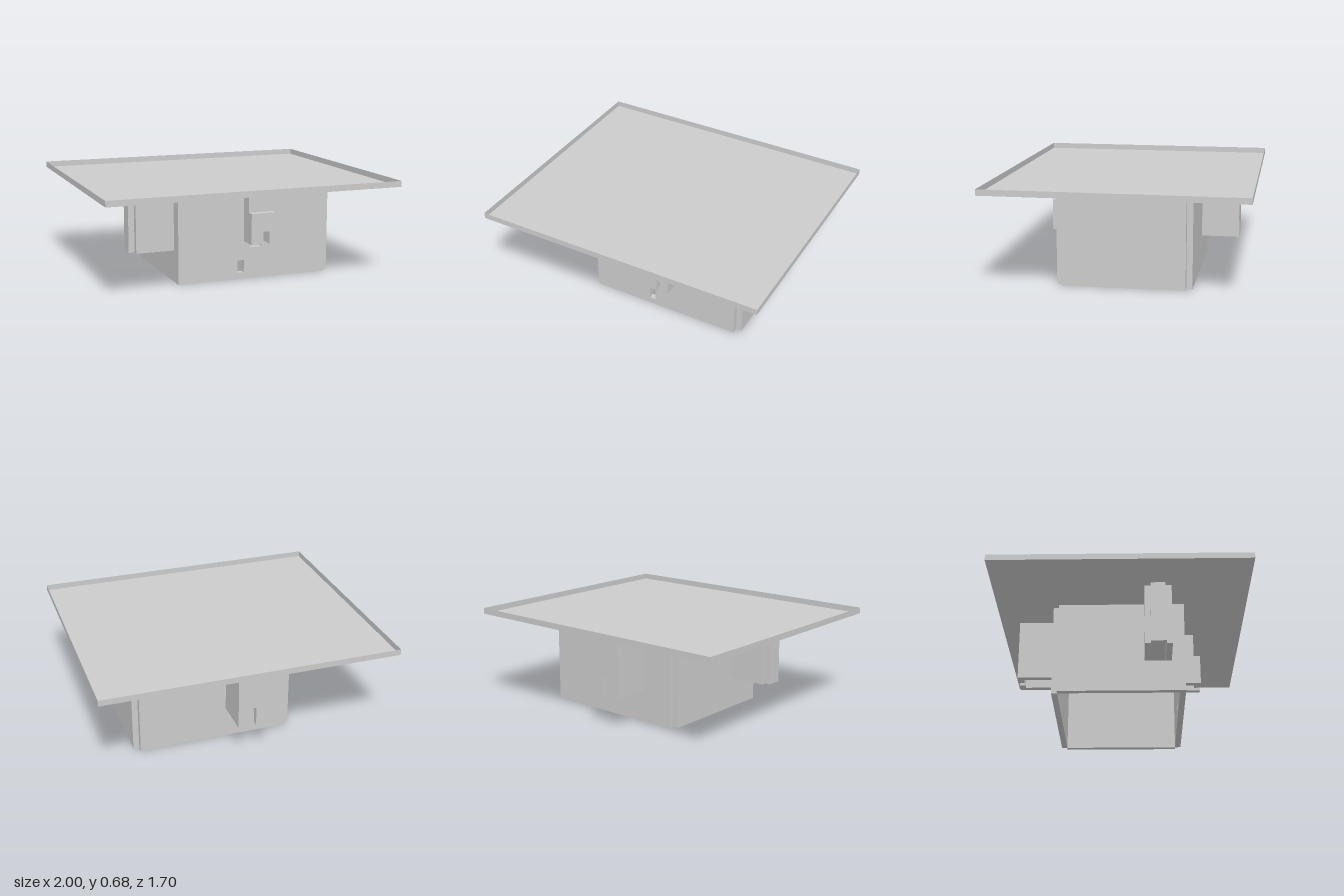
import * as THREE from 'three';

const material = new THREE.MeshStandardMaterial({ color: 0xcccccc });
const sheet = new THREE.MeshStandardMaterial({ color: 0xcccccc, side: THREE.DoubleSide });
const T = 0.04; // panel thickness
const TOP = 0.64; // underside of the tray

// Box given by its limits on each axis
function block(name, x0, x1, y0, y1, z0, z1) {
  const mesh = new THREE.Mesh(new THREE.BoxGeometry(x1 - x0, y1 - y0, z1 - z0), material);
  mesh.position.set((x0 + x1) / 2, (y0 + y1) / 2, (z0 + z1) / 2);
  mesh.name = name;
  return mesh;
}

// Upright panel in the xy plane with rectangular holes and an optional notch in its lower edge
function panel(name, [x0, x1, y0, y1], depth, holes = [], notch = null) {
  const pts = [[x0, y0]];
  if (notch) pts.push([notch[0], y0], [notch[0], notch[2]], [notch[1], notch[2]], [notch[1], y0]);
  pts.push([x1, y0], [x1, y1], [x0, y1]);
  const shape = new THREE.Shape(pts.map(([x, y]) => new THREE.Vector2(x, y)));
  for (const [a, b, c, d] of holes) {
    const corners = [[a, c], [a, d], [b, d], [b, c]];
    shape.holes.push(new THREE.Path(corners.map(([x, y]) => new THREE.Vector2(x, y))));
  }
  const geometry = new THREE.ExtrudeGeometry(shape, { depth, bevelEnabled: false });
  const mesh = new THREE.Mesh(geometry, material);
  mesh.name = name;
  return mesh;
}

// Thin tray: a flat floor with a low upright rim
function makeTray() {
  const tray = new THREE.Group();
  tray.name = 'tray';
  const W = 2, D = 1.7, H = 0.04;
  const floor = new THREE.Mesh(new THREE.PlaneGeometry(W, D), sheet);
  floor.rotation.x = -Math.PI / 2;
  floor.position.y = TOP;
  floor.name = 'trayFloor';
  tray.add(floor);
  for (let i = 0; i < 4; i++) {
    const side = i % 2 === 1;
    const rim = new THREE.Mesh(new THREE.PlaneGeometry(side ? D : W, H), sheet);
    const angle = (i * Math.PI) / 2;
    const reach = side ? W / 2 : D / 2;
    rim.rotation.y = angle;
    rim.position.set(Math.sin(angle) * reach, TOP + H / 2, Math.cos(angle) * reach);
    rim.name = 'trayRim';
    tray.add(rim);
  }
  return tray;
}

// Four wall panels, open below, that leave three corners notched
function makeBody() {
  const body = new THREE.Group();
  body.name = 'body';
  const front = panel('frontWall', [-0.405, 0.66, 0, TOP], T,
    [[0.105, 0.19, 0.215, 0.47], [0.015, 0.06, 0.045, 0.13]]);
  front.position.z = 0.385;
  const back = panel('backWall', [-0.365, 0.66, 0, TOP], T, [[-0.107, 0.024, 0.215, 0.6]]);
  back.position.z = -0.465;
  const right = panel('sideWall', [-0.425, 0.385, 0, TOP], T, [[0.195, 0.295, 0.215, 0.6]]);
  right.rotation.y = -Math.PI / 2;
  right.position.x = -0.365;
  body.add(front, back, right, block('sideWall', 0.66, 0.70, 0, TOP, -0.425, 0.385));
  return body;
}

// Stepped hollow housing on the front wall
function makeFrontHousing() {
  const group = new THREE.Group();
  group.name = 'frontHousing';
  const cover = panel('housingCover', [0.06, 0.23, 0.26, 0.47], 0.045, [], [0.145, 0.19, 0.345]);
  cover.position.z = 0.51;
  group.add(
    cover,
    block('housingSide', 0.06, 0.105, 0.26, 0.47, 0.425, 0.51),
    block('housingSide', 0.19, 0.23, 0.26, 0.47, 0.425, 0.51),
    block('housingTop', 0.06, 0.23, 0.47, TOP, 0.425, 0.51)
  );
  return group;
}

// Deeper hollow housing on the back wall
function makeBackHousing() {
  const group = new THREE.Group();
  group.name = 'backHousing';
  const cover = panel('housingCover', [-0.147, 0.064, 0.215, TOP], T, [], [-0.058, -0.013, 0.345]);
  cover.position.z = -0.72;
  group.add(
    cover,
    block('housingSide', -0.147, -0.107, 0.215, TOP, -0.68, -0.465),
    block('housingSide', 0.024, 0.064, 0.215, TOP, -0.68, -0.465)
  );
  return group;
}

// Side housing of three separate panels with notched corners
function makeSideHousing() {
  const group = new THREE.Group();
  group.name = 'sideHousing';
  group.add(
    block('housingSide', -0.665, -0.405, 0.215, TOP, 0.295, 0.335),
    block('housingSide', -0.665, -0.405, 0.215, TOP, 0.155, 0.195),
    block('housingCover', -0.705, -0.665, 0.215, TOP, 0.195, 0.295)
  );
  return group;
}

export function createModel() {
  const model = new THREE.Group();
  model.name = 'trayOnHollowBody';
  model.add(makeTray(), makeBody(), makeFrontHousing(), makeBackHousing(), makeSideHousing());
  return model;
}
